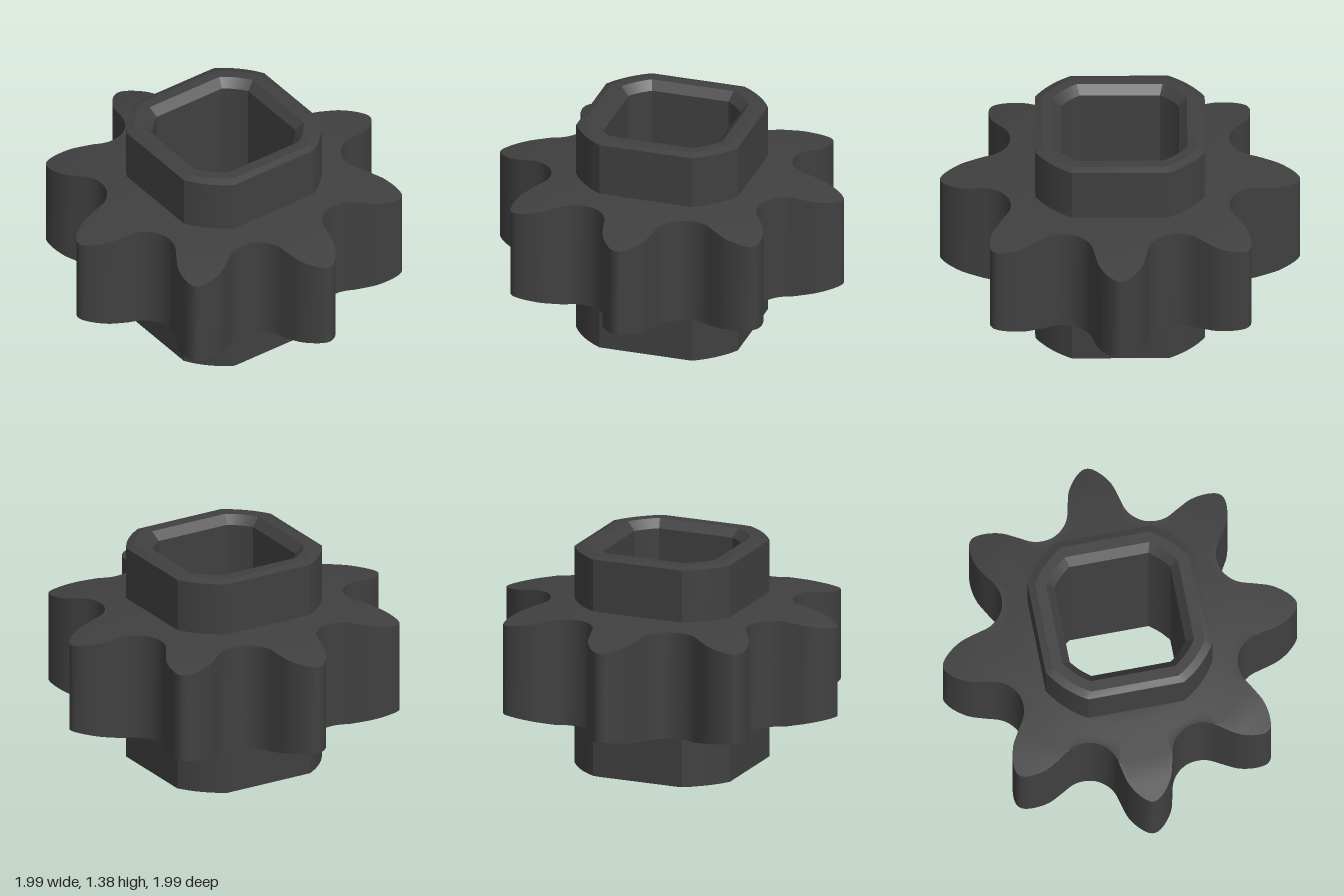
import * as THREE from 'three';
import { toCreasedNormals } from 'three/addons/utils/BufferGeometryUtils.js';

const MID = 0.6875; // half of the total height
const TAU = Math.PI * 2;
const rad = THREE.MathUtils.degToRad;

// Angle is measured from the back (-z) towards +x
const polar = (angle, r, y) =>
  new THREE.Vector3(r * Math.sin(angle), y, -r * Math.cos(angle));

// Skin a list of closed rings with equal point counts
function loft(rings, closed) {
  const pos = [];
  const tri = (a, b, c) => {
    const area = b.clone().sub(a).cross(c.clone().sub(a)).length();
    if (area > 1e-8) pos.push(...a.toArray(), ...b.toArray(), ...c.toArray());
  };
  const n = rings[0].length;
  const spans = closed ? rings.length : rings.length - 1;
  for (let i = 0; i < spans; i++) {
    const lower = rings[i], upper = rings[(i + 1) % rings.length];
    for (let j = 0; j < n; j++) {
      const k = (j + 1) % n;
      tri(lower[j], upper[j], lower[k]);
      tri(lower[k], upper[j], upper[k]);
    }
  }
  const geometry = new THREE.BufferGeometry();
  geometry.setAttribute('position', new THREE.Float32BufferAttribute(pos, 3));
  geometry.computeVertexNormals();
  return toCreasedNormals(geometry, 0.25);
}

// Square section whose corners are cut by a circle
function squareRing(radius, apothem, y) {
  const half = Math.PI / 4 - Math.acos(apothem / radius);
  const steps = 8, ring = [];
  for (let q = 0; q < 4; q++) {
    for (let s = 0; s <= steps; s++) {
      const a = rad(22.5 + 90 * q) + half * (2 * s / steps - 1);
      ring.push(polar(a, radius, y));
    }
  }
  return ring;
}

// Hub: rounded square sleeve with chamfered rims and a square bore
function hubGeometry() {
  const upper = [ // radius, flat distance, height above the middle
    [0.583, 0.506, MID - 0.015],
    [0.535, 0.465, MID],
    [0.475, 0.4, MID],
    [0.425, 0.351, MID - 0.05],
  ];
  const top = upper.map(([r, a, h]) => squareRing(r, a, MID + h));
  const bottom = upper.map(([r, a, h]) => squareRing(r, a, MID - h)).reverse();
  return loft([...top, ...bottom], true);
}

// Outline of the eight teeth with round valleys between them
function toothOutline() {
  const half = [ // degrees from the tooth axis, radius
    [1.67, 1.0645], [4.48, 1.023], [7.8, 0.951], [10.02, 0.873],
    [12.9, 0.786], [16.61, 0.741],
  ];
  const tooth = [
    [-22.5, 0.72],
    ...half.map(([a, r]) => [-a, r]).reverse(),
    [0, 1.073],
    ...half,
  ];
  const points = [];
  for (let k = 0; k < 8; k++) {
    for (const [a, r] of tooth) points.push(polar(rad(22.5 + 45 * k + a), r, 0));
  }
  const curve = new THREE.CatmullRomCurve3(points, true);
  const samples = curve.getPoints(points.length * 4);
  samples.pop();
  return samples.map((p) => ({
    angle: (Math.atan2(p.x, -p.z) + TAU) % TAU,
    r: Math.hypot(p.x, p.z),
  }));
}

// Toothed wheel: faces step down from the hub and taper towards the tips
function wheelGeometry() {
  const outline = toothOutline();
  const face = [ // radius, height above the middle
    [0.47, 0.35], [0.585, 0.35], [0.68, 0.331], [0.82, 0.328], [1.08, 0.275],
  ];
  const heightAt = (r) => {
    for (let i = 1; i < face.length; i++) {
      const [r0, h0] = face[i - 1], [r1, h1] = face[i];
      if (r <= r1) return h0 + (h1 - h0) * (r - r0) / (r1 - r0);
    }
    return face[face.length - 1][1];
  };
  const ring = (limit, side) => outline.map(({ angle, r }) => {
    const radius = Math.min(r, limit);
    return polar(angle, radius, MID + side * heightAt(radius));
  });
  const limits = [0.47, 0.585, 0.68, 0.82, 0.95, 1.08];
  return loft([
    ...limits.map((r) => ring(r, -1)),
    ...limits.slice().reverse().map((r) => ring(r, 1)),
  ], false);
}

export function createModel() {
  const group = new THREE.Group();
  group.name = 'sprocket';
  const material = new THREE.MeshStandardMaterial({ color: 0x404040 });
  const parts = { hub: hubGeometry(), toothedWheel: wheelGeometry() };
  for (const [name, geometry] of Object.entries(parts)) {
    const mesh = new THREE.Mesh(geometry, material);
    mesh.name = name;
    group.add(mesh);
  }
  return group;
}
